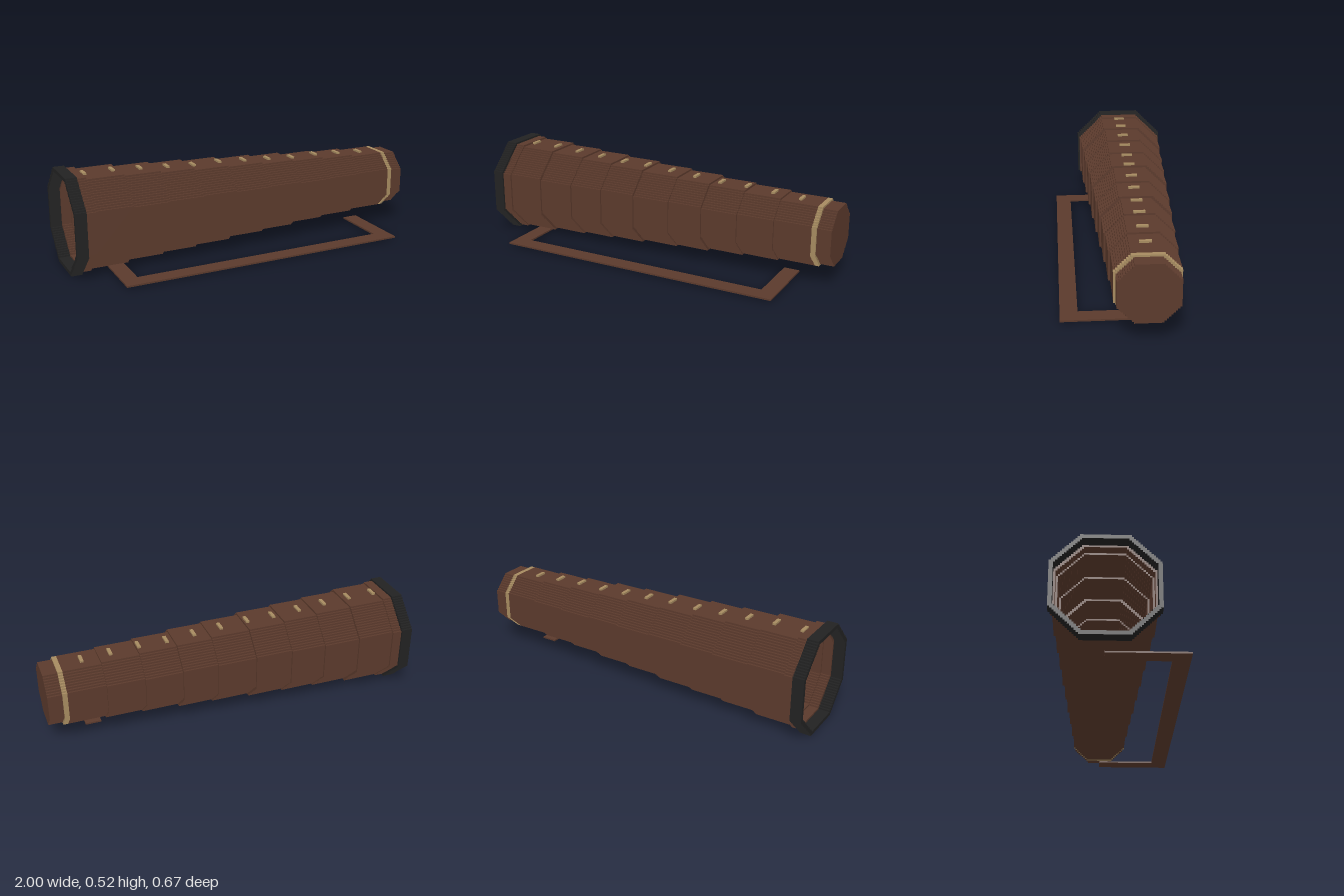
import * as THREE from 'three';

const U = 0.01; // step size of the blocky profile
const mat = (name, color) => Object.assign(new THREE.MeshStandardMaterial({ color }), { name });

// Stepped octagon: radius n (in steps), flat half-width h, staircase corners
function octagon(n, PathType) {
  const h = Math.floor(n * 0.414 + 1.4);
  const quarter = [[n, h]];
  for (let i = 1; i <= n - h; i++) quarter.push([n - i, h + i - 1], [n - i, h + i]);
  const points = [];
  for (let q = 0; q < 4; q++) {
    const c = [1, 0, -1, 0][q], s = [0, 1, 0, -1][q];
    for (const [x, y] of quarter) points.push(new THREE.Vector2((x * c - y * s) * U, (x * s + y * c) * U));
  }
  return new PathType(points);
}

export function createModel() {
  const group = new THREE.Group();
  const wood = mat('brown wood', 0x5b3a2c);
  const tan = mat('tan inlay', 0xa68b60);
  const black = mat('black rim', 0x222222);

  const tube = new THREE.Group();
  tube.name = 'taperedTube';
  tube.position.set(0, 0.26, -0.075);
  group.add(tube);

  // One octagonal section running along x, hollow if inner is given
  function section(name, material, n, x0, x1, inner) {
    const shape = octagon(n, THREE.Shape);
    if (inner) shape.holes.push(octagon(inner, THREE.Path));
    const geo = new THREE.ExtrudeGeometry(shape, { depth: x1 - x0, bevelEnabled: false });
    geo.rotateY(Math.PI / 2).translate(x0, 0, 0);
    const mesh = new THREE.Mesh(geo, material);
    mesh.name = name;
    tube.add(mesh);
  }

  function box(name, material, parent, x0, x1, y0, y1, z0, z1) {
    const mesh = new THREE.Mesh(new THREE.BoxGeometry(x1 - x0, y1 - y0, z1 - z0), material);
    mesh.position.set((x0 + x1) / 2, (y0 + y1) / 2, (z0 + z1) / 2);
    mesh.name = name;
    parent.add(mesh);
  }

  // Open rim, tapering body, band and closed tip
  section('openRim', black, 26, -1, -0.94, 24);
  const edges = [-0.94, -0.89, -0.69, -0.49, -0.3, -0.1, 0.11, 0.3, 0.5, 0.7, 0.9];
  for (let i = 0; i < 10; i++) section('bodySection', wood, 25 - i, edges[i], edges[i + 1], 23 - i);
  section('tipBand', tan, 16, 0.9, 0.925, 14);
  section('tip', wood, 15, 0.925, 0.99, 13);
  section('tipCap', wood, 15, 0.99, 1);

  // Row of small studs along the top, each following the taper
  for (let i = 0; i < 12; i++) {
    const x = -0.875 + i * 0.1513;
    const step = edges.findIndex((e) => e > x) - 1;
    const top = (25 - step) * U;
    box('topStud', tan, tube, x - 0.009, x + 0.009, top - 0.005, top + 0.01, -0.03, 0.03);
  }

  // Flat U-shaped handle near the ground
  const handle = new THREE.Group();
  handle.name = 'handle';
  group.add(handle);
  box('handleBar', wood, handle, -0.8, 0.795, 0.012, 0.021, 0.245, 0.333);
  box('handleArm', wood, handle, -0.8, -0.715, 0.012, 0.021, -0.075, 0.245);
  box('handleArm', wood, handle, 0.71, 0.795, 0.012, 0.021, -0.075, 0.245);

  return group;
}
